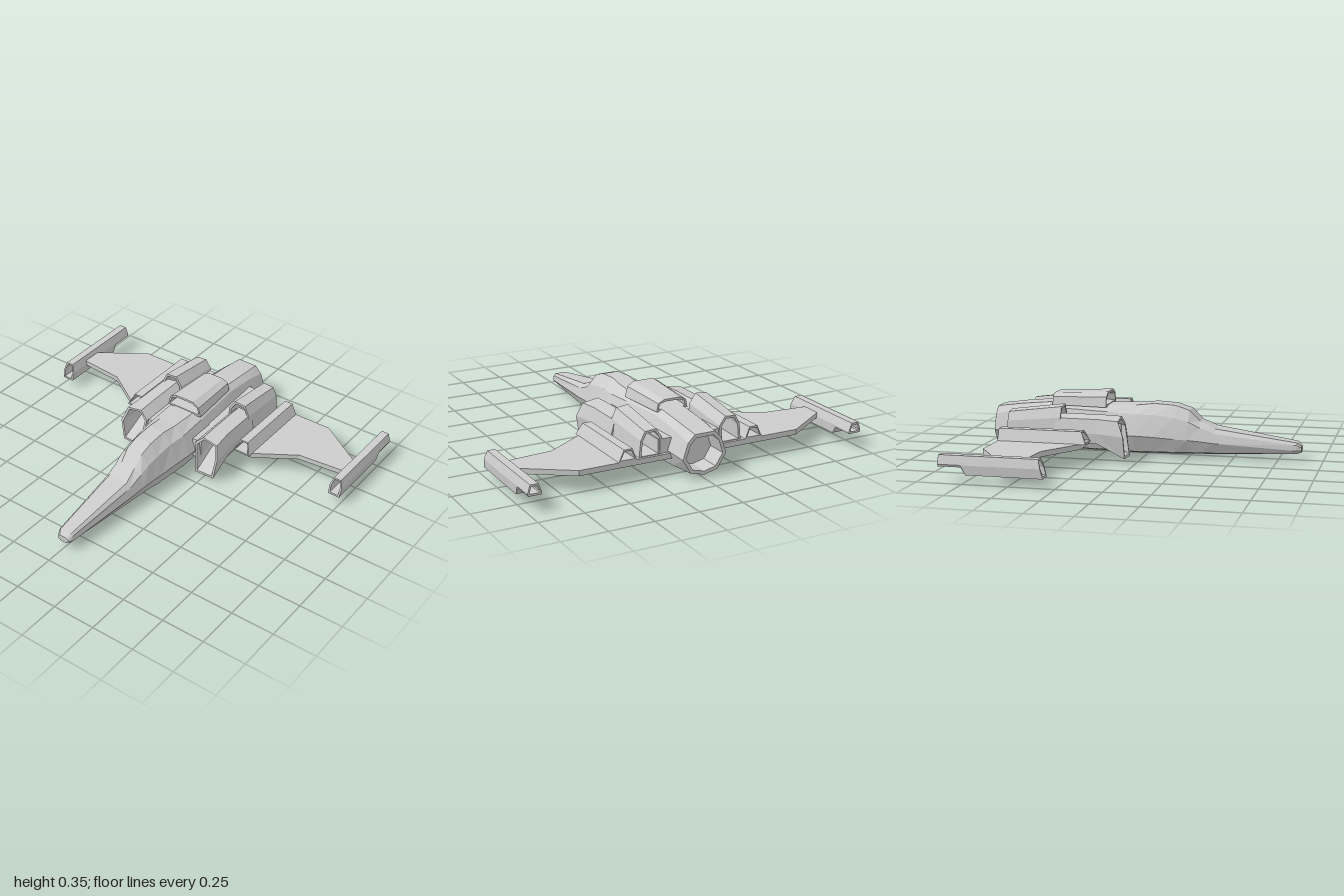
import * as THREE from 'three';

const hull = new THREE.MeshStandardMaterial({ color: 0xcccccc, side: THREE.DoubleSide, flatShading: true });
hull.name = 'hull grey';

function addMesh(parent, name, geometry) {
  const mesh = new THREE.Mesh(geometry, hull);
  mesh.name = name;
  parent.add(mesh);
  return mesh;
}

// Skin a list of equal-length rings of [x, y, z]; each ring runs counter-clockwise seen from the front, front to back
function loft(rings, { closed = false, capStart = false, capEnd = false } = {}) {
  const n = rings[0].length, pos = [];
  const tri = (a, b, c) => pos.push(...a, ...b, ...c);
  const last = closed ? rings.length : rings.length - 1;
  for (let i = 0; i < last; i++) {
    const p = rings[i], q = rings[(i + 1) % rings.length];
    for (let j = 0; j < n; j++) {
      const k = (j + 1) % n;
      tri(p[j], q[j], q[k]);
      tri(p[j], q[k], p[k]);
    }
  }
  const cap = (ring, flip) => {
    const c = centre(ring);
    ring.forEach((a, j) => {
      const b = ring[(j + 1) % n];
      flip ? tri(c, b, a) : tri(c, a, b);
    });
  };
  if (capStart) cap(rings[0], false);
  if (capEnd) cap(rings[rings.length - 1], true);
  const g = new THREE.BufferGeometry();
  g.setAttribute('position', new THREE.Float32BufferAttribute(pos, 3));
  g.computeVertexNormals();
  return g;
}

function centre(ring) {
  return [0, 1, 2].map(i => ring.reduce((s, p) => s + p[i], 0) / ring.length);
}

// Shrink a ring in x and y towards its centre by roughly the wall thickness
function inset(ring, wall) {
  const xs = ring.map(p => p[0]), ys = ring.map(p => p[1]);
  const [x0, x1, y0, y1] = [Math.min(...xs), Math.max(...xs), Math.min(...ys), Math.max(...ys)];
  const cx = (x0 + x1) / 2, cy = (y0 + y1) / 2;
  const sx = 1 - 2 * wall / (x1 - x0), sy = 1 - 2 * wall / (y1 - y0);
  return ring.map(([x, y, z]) => [cx + (x - cx) * sx, cy + (y - cy) * sy, z]);
}

// Open duct with walls
function duct(rings, wall) {
  return loft([...rings, ...rings.map(r => inset(r, wall)).reverse()], { closed: true });
}

const atZ = (profile, z) => profile.map(([x, y]) => [x, y, z]);

// Right half of a section, bottom to top, mirrored into a full ring
function symmetric(half, z) {
  const mirrored = half.filter(p => p[0] > 0).reverse().map(([x, y]) => [-x, y]);
  return atZ([...half, ...mirrored], z);
}

function buildFuselage(parent) {
  // z, keel y, then lower chine, widest point, shoulder, top edge
  const sections = [
    [0.88, 0.045, [0.02, 0.048], [0.036, 0.06], [0.032, 0.075], [0.022, 0.083]],
    [0.855, 0.035, [0.03, 0.04], [0.05, 0.06], [0.047, 0.09], [0.035, 0.103]],
    [0.4, 0.012, [0.07, 0.03], [0.1, 0.09], [0.085, 0.142], [0.06, 0.167]],
    [0.31, 0.009, [0.08, 0.03], [0.11, 0.1], [0.088, 0.175], [0.045, 0.205]],
    [0.25, 0.007, [0.085, 0.03], [0.118, 0.105], [0.095, 0.205], [0.05, 0.265]],
    [0.17, 0.004, [0.1, 0.03], [0.13, 0.11], [0.1, 0.225], [0.05, 0.29]],
    [0.05, 0.001, [0.11, 0.03], [0.147, 0.12], [0.105, 0.24], [0.05, 0.297]],
    [-0.05, 0, [0.12, 0.03], [0.16, 0.125], [0.115, 0.24], [0.055, 0.285]],
    [-0.22, 0.002, [0.125, 0.035], [0.165, 0.13], [0.115, 0.25], [0.06, 0.28]],
    [-0.54, 0.01, [0.11, 0.035], [0.147, 0.13], [0.1, 0.26], [0.065, 0.288]],
    [-0.73, 0.015, [0.1, 0.037], [0.138, 0.13], [0.1, 0.24], [0.065, 0.27]],
    [-0.88, 0.02, [0.08, 0.04], [0.13, 0.12], [0.1, 0.21], [0.06, 0.25]],
  ];
  const rings = sections.map(([z, keel, ...pts]) => symmetric([[0, keel], ...pts], z));
  // Hollow exhaust at the tail
  const lip = inset(rings[rings.length - 1], 0.02);
  rings.push(lip, lip.map(([x, y]) => [x, y, -0.76]));
  addMesh(parent, 'fuselage', loft(rings, { capStart: true, capEnd: true }));

  // Scoop on the spine
  addMesh(parent, 'dorsalScoop', duct([
    symmetric([[0.07, 0.272], [0.115, 0.272], [0.1, 0.33], [0.06, 0.355]], -0.22),
    symmetric([[0.06, 0.275], [0.095, 0.275], [0.085, 0.32], [0.05, 0.338]], -0.54),
  ], 0.012));
}

function buildSide() {
  const side = new THREE.Group();

  // Flat wing plate with swept leading and trailing edges
  const plan = [[0.1, 0.28], [0.43, 0.28], [0.66, 0.43], [0.93, 0.455], [0.93, 0.575], [0.66, 0.755], [0.1, 0.755]];
  const wing = new THREE.ExtrudeGeometry(new THREE.Shape(plan.map(p => new THREE.Vector2(...p))),
    { depth: 0.03, bevelEnabled: false });
  wing.rotateX(-Math.PI / 2).translate(0, 0.09, 0);
  addMesh(side, 'wing', wing);

  // Pylon joining engine and fuselage
  addMesh(side, 'enginePylon', new THREE.BoxGeometry(0.09, 0.11, 0.46).translate(0.15, 0.145, -0.505));
  addMesh(side, 'intakePylon', new THREE.BoxGeometry(0.06, 0.12, 0.17).translate(0.17, 0.14, -0.195));

  // Intake with raked mouth and a floor rising to the wing
  const mouth = [[0.2, 0.02, -0.06], [0.32, 0.025, -0.06], [0.34, 0.15, -0.065],
    [0.315, 0.232, -0.098], [0.22, 0.248, -0.1], [0.172, 0.2, -0.09]];
  const throat = z => atZ([[0.2, 0.105], [0.32, 0.105], [0.325, 0.16], [0.305, 0.238], [0.22, 0.252], [0.172, 0.2]], z);
  addMesh(side, 'engineIntake', duct([mouth, throat(-0.22), throat(-0.46)], 0.014));

  // Raised rear engine housing
  addMesh(side, 'engineHousing', duct([
    atZ([[0.17, 0.11], [0.32, 0.11], [0.308, 0.24], [0.28, 0.298], [0.21, 0.305], [0.172, 0.25]], -0.43),
    atZ([[0.17, 0.11], [0.31, 0.11], [0.3, 0.21], [0.275, 0.258], [0.21, 0.264], [0.175, 0.215]], -0.74),
  ], 0.014));

  // Small open housing on top of the wing
  addMesh(side, 'wingHousing', duct([
    [[0.33, 0.118, -0.25], [0.435, 0.118, -0.25], [0.405, 0.185, -0.28], [0.355, 0.185, -0.28]],
    atZ([[0.33, 0.118], [0.435, 0.118], [0.405, 0.185], [0.355, 0.185]], -0.755),
  ], 0.01));

  // Wing tip pod, underside stepped up at the rear
  const pod = (low, z, rake = 0) => [[0.925, low, z], [0.995, low, z], [1, 0.1, z - rake / 2],
    [0.985, 0.148, z - rake], [0.94, 0.148, z - rake], [0.922, 0.1, z - rake / 2]];
  addMesh(side, 'wingTipPod', duct([pod(0.048, -0.315, 0.025), pod(0.048, -0.73), pod(0.088, -0.755), pod(0.088, -0.88)], 0.011));
  return side;
}

export function createModel() {
  const model = new THREE.Group();
  model.name = 'spacecraft';
  buildFuselage(model);
  for (const [name, s] of [['leftSide', 1], ['rightSide', -1]]) {
    const side = buildSide();
    side.name = name;
    side.scale.x = s;
    model.add(side);
  }
  return model;
}
